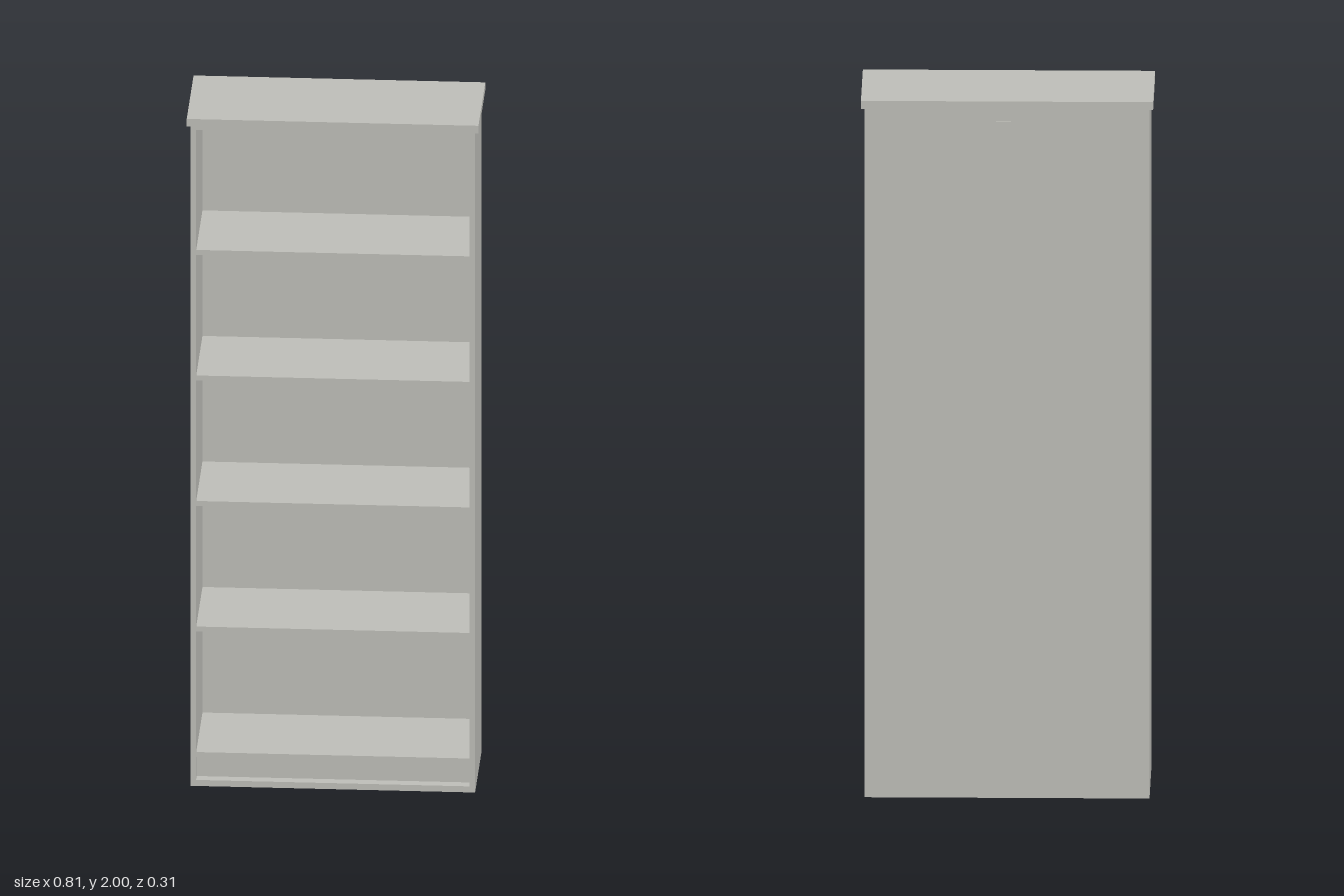
import * as THREE from 'three';

export function createModel() {
  const model = new THREE.Group();
  model.name = 'bookcase';
  const paint = new THREE.MeshStandardMaterial({ color: 0xc0c0ba });
  paint.name = 'pale grey paint';

  // box given by its min and max on each axis
  const board = (name, [x0, x1], [y0, y1], [z0, z1]) => {
    const mesh = new THREE.Mesh(new THREE.BoxGeometry(x1 - x0, y1 - y0, z1 - z0), paint);
    mesh.name = name;
    mesh.position.set((x0 + x1) / 2, (y0 + y1) / 2, (z0 + z1) / 2);
    model.add(mesh);
  };

  const outer = 0.393, inner = 0.378;
  const back = -0.154, front = 0.143, backInner = -0.147;
  const bodyTop = 1.977;
  const span = [-inner, inner];

  // carcass
  board('leftSide', [inner, outer], [0, bodyTop], [back, front]);
  board('rightSide', [-outer, -inner], [0, bodyTop], [back, front]);
  board('backPanel', span, [0, bodyTop], [back, backInner]);
  board('topRail', span, [1.962, bodyTop], [backInner, front]);
  board('basePanel', span, [0, 0.018], [backInner, front]);

  // overhanging top
  board('topSlab', [-0.403, 0.403], [bodyTop, 2], [back, 0.156]);

  // evenly spaced shelves, set slightly back from the front edge
  for (let i = 0; i < 5; i++) {
    const y = 0.098 + i * 0.3755;
    board('shelf' + (i + 1), span, [y - 0.015, y], [backInner, front - 0.008]);
  }

  // recessed kick board under the lowest shelf
  board('kickBoard', span, [0.018, 0.083], [0.1, 0.115]);

  // small wall bracket on the back
  board('wallBracket', [-0.03, 0.03], [1.915, 1.942], [-0.156, back]);
  return model;
}
